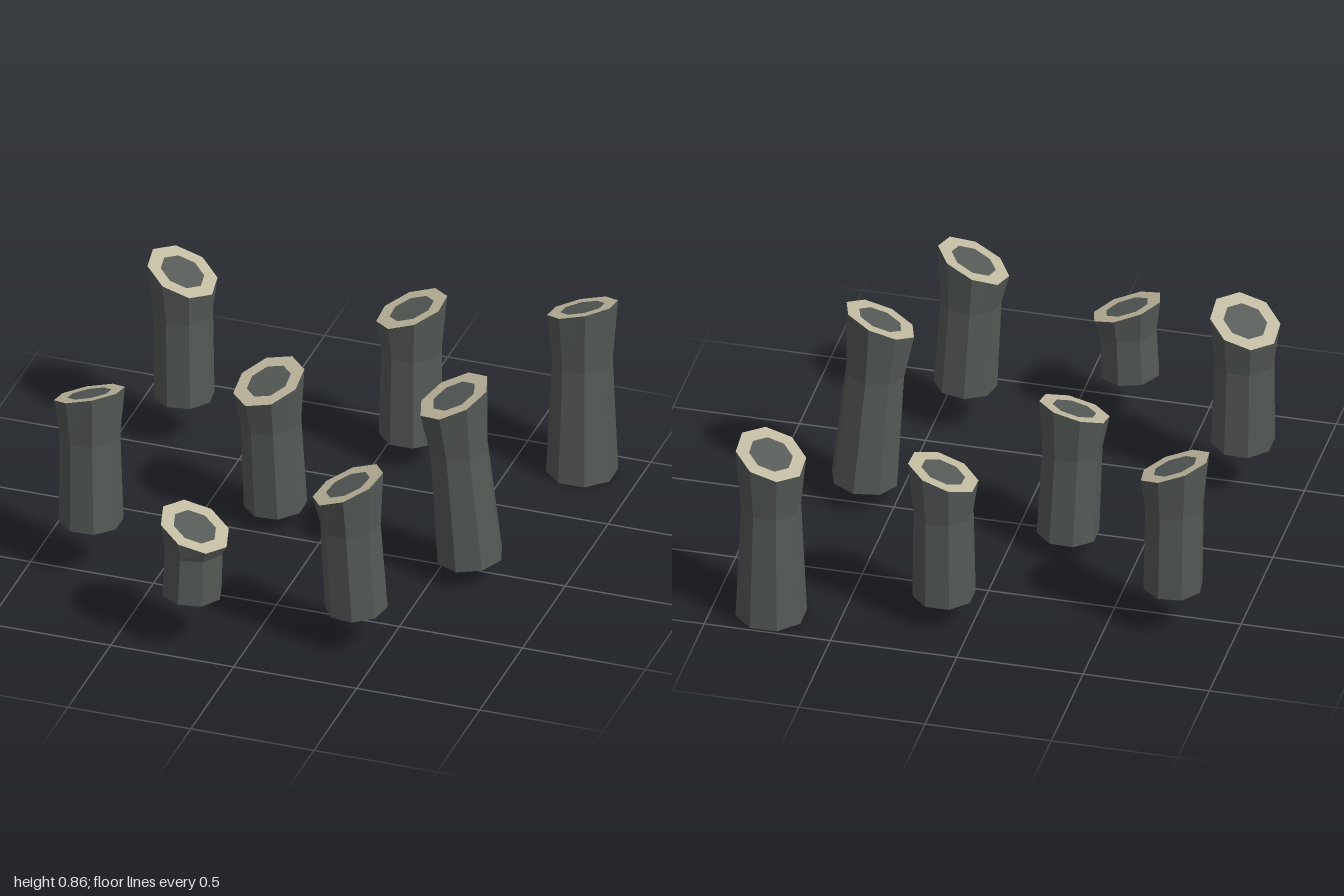
import * as THREE from 'three';

const SIDES = 8;
const WAIST = 0.68; // height fraction of the narrowest ring
const WAIST_R = 0.117, TOP_R = 0.137, CORE = 0.62;

// base [x, y, z], cut-face centre [x, y, z], cut slope [dy/dx, dy/dz], base radius, turn in degrees
const STEMS = [
  { base: [-0.752, 0.195, -0.585], top: [-0.762, 0.735, -0.592], slope: [-0.4, -0.1], r: 0.118, turn: 15 },
  { base: [-0.765, 0.215, 0.465], top: [-0.778, 0.765, 0.45], slope: [0.3, 0.25], r: 0.124, turn: 22 },
  { base: [-0.218, 0.072, -0.115], top: [-0.24, 0.62, -0.1], slope: [0.25, -0.3], r: 0.122, turn: 22 },
  { base: [-0.22, 0.215, 0.855], top: [-0.21, 0.502, 0.85], slope: [-0.38, -0.12], r: 0.12, turn: 8 },
  { base: [0.118, 0.112, -0.73], top: [0.12, 0.662, -0.735], slope: [0.36, -0.1], r: 0.123, turn: 22 },
  { base: [0.77, 0.003, -0.858], top: [0.77, 0.72, -0.863], slope: [0.3, 0.2], r: 0.139, turn: 22 },
  { base: [0.627, 0.09, 0.042], top: [0.57, 0.8, 0.065], slope: [0.4, -0.2], r: 0.132, turn: 5 },
  { base: [0.387, 0.17, 0.68], top: [0.36, 0.715, 0.7], slope: [0.46, -0.08], r: 0.122, turn: 34 },
];

// Bends a unit-radius geometry (y from 0 to 1) into one leaning, slant-cut stem
function shapeToStem(geometry, { base, top, slope, r, turn }) {
  geometry.rotateY(-THREE.MathUtils.degToRad(turn));
  const axis = top.map((v, i) => v - base[i]);
  const baseSlope = [-axis[0] / axis[1], -axis[2] / axis[1]];
  const p = geometry.attributes.position;
  for (let i = 0; i < p.count; i++) {
    const level = Math.round(p.getY(i) * 2); // 0 base, 1 waist, 2 cut
    const f = [0, WAIST, 1][level];
    const radius = [r, WAIST_R, TOP_R][level];
    const [sx, sz] = level === 2 ? slope : baseSlope;
    const dx = p.getX(i) * radius, dz = p.getZ(i) * radius;
    p.setXYZ(i,
      base[0] + axis[0] * f + dx,
      base[1] + axis[1] * f + dx * sx + dz * sz,
      base[2] + axis[2] * f + dz);
  }
  geometry.computeVertexNormals();
  return geometry;
}

export function createModel() {
  const model = new THREE.Group();
  model.name = 'cutStems';

  const bark = new THREE.MeshStandardMaterial({ color: 0x555a57, flatShading: true, side: THREE.DoubleSide });
  bark.name = 'darkGreyGreen';
  const wood = new THREE.MeshStandardMaterial({ color: 0xc0b9a0, flatShading: true, side: THREE.DoubleSide });
  wood.name = 'paleTan';

  STEMS.forEach((stem, i) => {
    const group = new THREE.Group();
    group.name = `stem${i + 1}`;
    const add = (name, geometry, material) => {
      const mesh = new THREE.Mesh(shapeToStem(geometry, stem), material);
      mesh.name = name;
      group.add(mesh);
    };
    // Open-bottomed wall with a waist
    add('stemWall', new THREE.CylinderGeometry(1, 1, 1, SIDES, 2, true).translate(0, 0.5, 0), bark);
    // Pale slanted rim and dark centre of the cut
    add('cutRim', new THREE.RingGeometry(CORE, 1, SIDES).rotateX(-Math.PI / 2).translate(0, 1, 0), wood);
    add('cutCore', new THREE.CircleGeometry(CORE, SIDES).rotateX(-Math.PI / 2).translate(0, 1, 0), bark);
    model.add(group);
  });

  return model;
}
